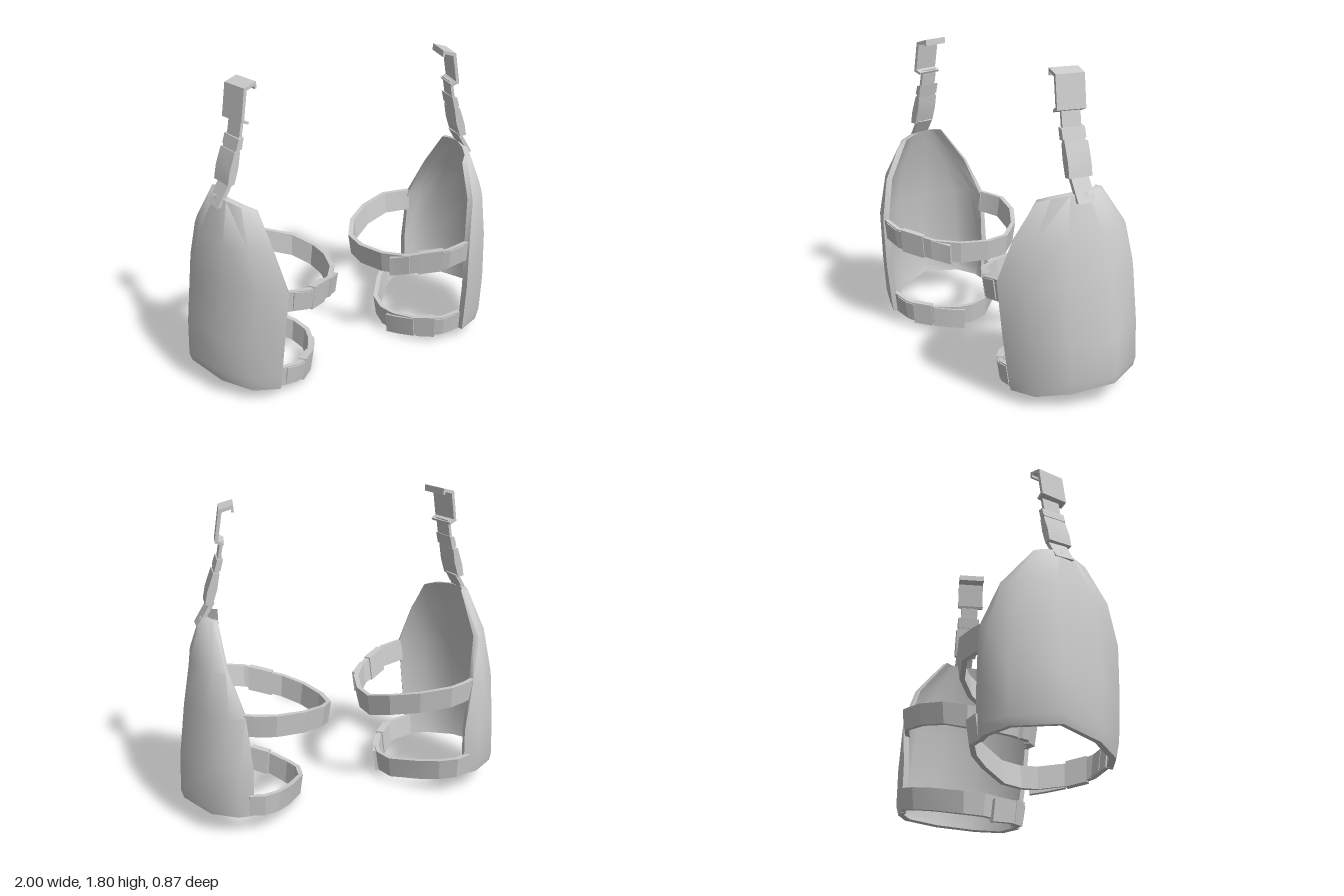
import * as THREE from 'three';
import { toCreasedNormals } from 'three/addons/utils/BufferGeometryUtils.js';

// Sweep equal-length loops of [x, y, z] into a closed solid; each loop folds back on itself.
function loft(rings) {
  const n = rings[0].length, last = (rings.length - 1) * n, index = [];
  const quad = (a, b, c, d) => index.push(a, b, c, a, c, d);
  for (let r = 0; r < rings.length - 1; r++) {
    for (let i = 0; i < n; i++) {
      const j = (i + 1) % n;
      quad(r * n + i, r * n + j, (r + 1) * n + j, (r + 1) * n + i);
    }
  }
  for (let i = 0; i < n / 2 - 1; i++) {
    const a = i, b = i + 1, c = n - 2 - i, d = n - 1 - i;
    quad(d, c, b, a);
    quad(last + a, last + b, last + c, last + d);
  }
  const geo = new THREE.BufferGeometry();
  geo.setAttribute('position', new THREE.Float32BufferAttribute(rings.flat(2), 3));
  geo.setIndex(index);
  return geo.toNonIndexed();
}

// Turn all triangles outward, judged by the signed volume.
function orient(geo) {
  const p = geo.attributes.position;
  const [a, b, c] = [0, 1, 2].map(() => new THREE.Vector3());
  let volume = 0;
  for (let i = 0; i < p.count; i += 3) {
    a.fromBufferAttribute(p, i); b.fromBufferAttribute(p, i + 1); c.fromBufferAttribute(p, i + 2);
    volume += a.dot(b.clone().cross(c));
  }
  if (volume < 0) {
    for (let i = 0; i < p.count; i += 3) {
      b.fromBufferAttribute(p, i + 1); c.fromBufferAttribute(p, i + 2);
      p.setXYZ(i + 1, c.x, c.y, c.z);
      p.setXYZ(i + 2, b.x, b.y, b.z);
    }
  }
  return geo;
}

// Inward plan-view normal of a path of [x, y, z] at point i.
function planNormal(path, i) {
  const p = path[Math.max(i - 1, 0)], q = path[Math.min(i + 1, path.length - 1)];
  const dx = q[0] - p[0], dz = q[2] - p[2], l = Math.hypot(dx, dz);
  return [dz / l, -dx / l];
}

// Curved thigh plate: outer sections from front edge to back edge, thickened inward.
function shellGeometry() {
  const rows = [
    [[.63, .07, .365], [.775, .075, .31], [.9, .1, .165], [.985, .13, -.07], [.885, .125, -.3], [.75, .115, -.38], [.665, .11, -.385]],
    [[.625, .16, .38], [.785, .16, .325], [.91, .17, .17], [1, .18, -.07], [.89, .17, -.31], [.75, .17, -.395], [.66, .17, -.385]],
    [[.615, .4, .41], [.78, .4, .345], [.907, .4, .18], [.992, .4, -.07], [.885, .4, -.305], [.745, .4, -.395], [.655, .4, -.385]],
    [[.595, .71, .435], [.75, .71, .37], [.872, .71, .2], [.95, .71, -.06], [.875, .71, -.275], [.775, .71, -.365], [.69, .71, -.39]],
    [[.65, .95, .37], [.76, .95, .315], [.85, .95, .17], [.903, .95, -.04], [.87, .95, -.175], [.825, .95, -.255], [.765, .95, -.3]],
    [[.688, 1.135, .255], [.745, 1.158, .2], [.79, 1.172, .11], [.817, 1.18, .02], [.814, 1.18, -.04], [.8, 1.18, -.08], [.775, 1.18, -.115]],
  ];
  return loft(rows.map(row => {
    const inner = row.map((p, i) => {
      const [nx, nz] = planNormal(row, i);
      return [p[0] + nx * .035, p[1] + .004, p[2] + nz * .035];
    });
    return [...row, ...inner.reverse()];
  }));
}

// Flat webbing along a path of [x, y, z], leaning inward toward its lower edge.
function bandGeometry(path, height = .13, thick = .028, out = 0) {
  return loft(path.map((p, i) => {
    const [nx, nz] = planNormal(path, i);
    const at = (d, dy) => [p[0] + nx * d, p[1] + dy, p[2] + nz * d];
    const h = height / 2;
    return [at(-out, h), at(.018 - out, -h), at(.018 + thick, -h), at(thick, h)];
  }));
}

// Plate with an x-y outline, extruded across z and yawed about its own centre.
function plateGeometry(outline, width, yaw) {
  const cx = outline.reduce((s, p) => s + p[0], 0) / outline.length;
  const shape = new THREE.Shape(outline.map(([x, y]) => new THREE.Vector2(x - cx, y)));
  return new THREE.ExtrudeGeometry(shape, { depth: width, bevelEnabled: false })
    .translate(0, 0, -width / 2).rotateY(yaw).translate(cx, 0, .032);
}

const upperPath = [[.7, .665, -.385], [.64, .66, -.41], [.53, .655, -.438], [.35, .63, -.39], [.2, .6, -.29], [.115, .565, -.165],
  [.108, .56, -.02], [.158, .568, .15], [.25, .585, .285], [.4, .615, .385], [.46, .63, .422], [.6, .655, .428]];
const lowerPath = [[.69, .18, -.4], [.6, .175, -.418], [.5, .157, -.37], [.4, .135, -.28], [.28, .1, -.125],
  [.255, .092, 0], [.282, .088, .1], [.355, .098, .23], [.435, .112, .312], [.5, .12, .347], [.64, .137, .36]];

function thighGuard(side) {
  const guard = new THREE.Group();
  guard.name = side > 0 ? 'leftThighGuard' : 'rightThighGuard';
  const add = (name, source, crease = .2) => {
    const geo = toCreasedNormals(orient(source.scale(side, 1, 1)), crease);
    const mesh = new THREE.Mesh(geo, new THREE.MeshStandardMaterial({ color: 0xcccccc }));
    mesh.name = name;
    guard.add(mesh);
  };

  add('thighShell', shellGeometry(), 1.1);

  // Leg straps, each with a two-part buckle and a loose end
  add('upperStrap', bandGeometry(upperPath));
  add('upperBuckleSocket', bandGeometry([[.31, .597, .325], [.43, .622, .403]], .145, .035, .008));
  add('upperBuckleClip', bandGeometry([[.43, .622, .403], [.47, .631, .422], [.56, .65, .427]], .115, .03, .006));
  add('upperStrapEnd', bandGeometry([[.18, .562, .215], [.21, .57, .24], [.265, .588, .295]], .125, .02, .008));
  add('lowerStrap', bandGeometry(lowerPath));
  add('lowerBuckleSocket', bandGeometry([[.365, .1, .24], [.45, .113, .322]], .145, .035, .008));
  add('lowerBuckleClip', bandGeometry([[.45, .113, .322], [.5, .12, .347], [.58, .13, .354]], .115, .03, .006));
  add('lowerStrapEnd', bandGeometry([[.262, .066, .06], [.3, .078, .14], [.355, .094, .23]], .132, .02, .008));

  // Hanger: webbing, side-release buckle and the hook that goes over a belt
  add('hangerLowerWebbing', plateGeometry([[.84, 1.13], [.755, 1.27], [.735, 1.26], [.812, 1.135]], .11, -.1));
  add('hangerBuckleSocket', plateGeometry([[.745, 1.25], [.785, 1.255], [.77, 1.33], [.733, 1.43], [.7, 1.425], [.715, 1.34]], .14, -.15));
  add('hangerBuckleNeck', plateGeometry([[.702, 1.42], [.728, 1.425], [.718, 1.455], [.694, 1.45]], .125, -.15));
  add('hangerBuckleClip', plateGeometry([[.692, 1.44], [.725, 1.445], [.708, 1.5], [.676, 1.505]], .14, -.15));
  add('hangerUpperWebbing', plateGeometry([[.685, 1.49], [.702, 1.495], [.682, 1.6], [.665, 1.6]], .11, -.2));
  add('beltHook', plateGeometry([[.603, 1.797], [.682, 1.775], [.71, 1.595], [.665, 1.578],
    [.659, 1.59], [.69, 1.607], [.665, 1.76], [.615, 1.775], [.614, 1.758], [.6, 1.76]], .165, -.24));
  return guard;
}

export function createModel() {
  const model = new THREE.Group();
  model.name = 'thighGuards';
  model.add(thighGuard(1), thighGuard(-1));
  return model;
}
